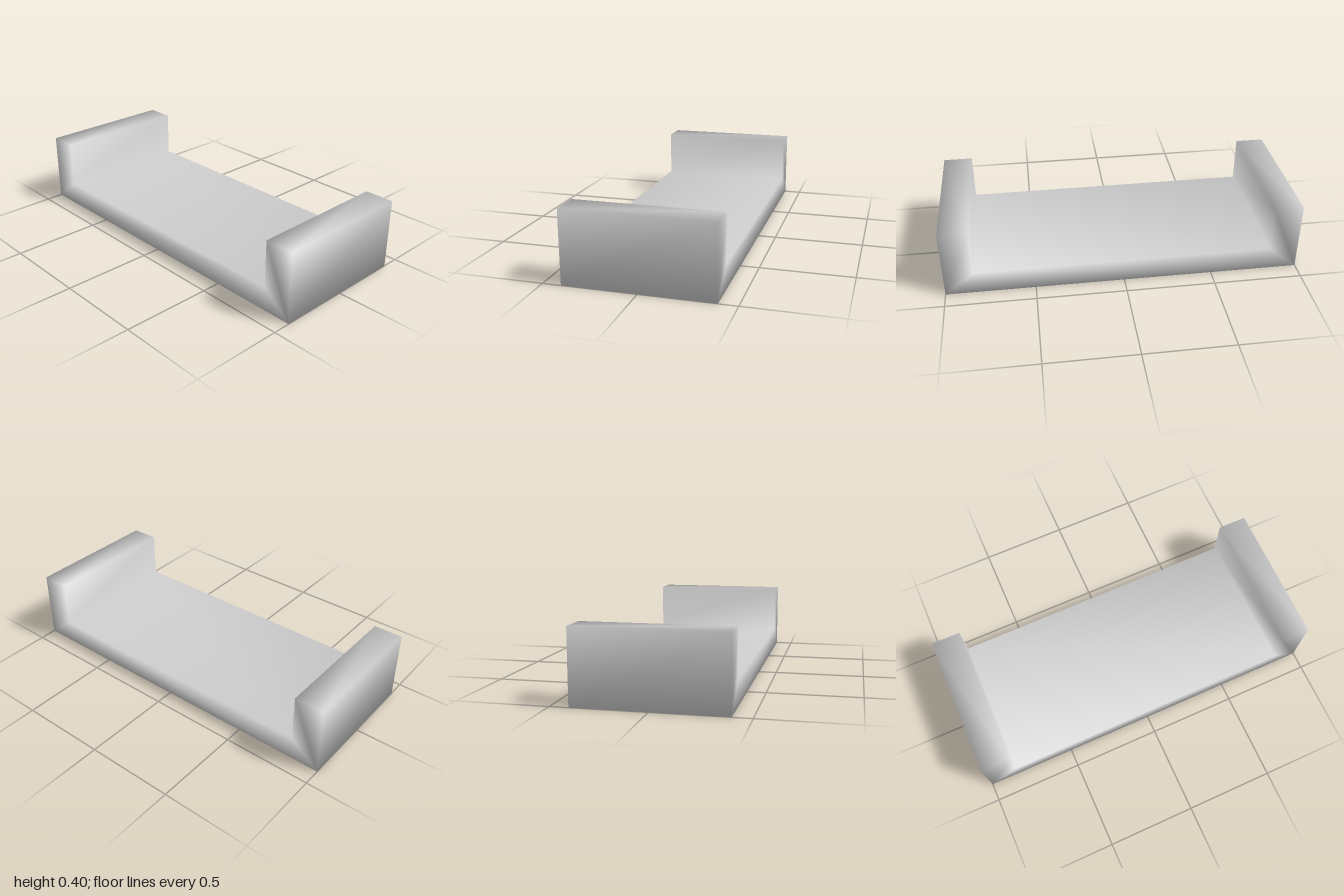
import * as THREE from 'three';
import { mergeVertices } from 'three/addons/utils/BufferGeometryUtils.js';

export function createModel() {
  const group = new THREE.Group();
  group.name = 'channelTray';

  const grey = new THREE.MeshStandardMaterial({ color: 0xcccccc });
  grey.name = 'light grey';

  const halfLength = 1, innerLength = 0.835, width = 0.8;
  const wallHeight = 0.4, floorHeight = 0.135;

  // U-shaped side profile: floor slab with an upright wall at each end
  const profile = new THREE.Shape([
    [-halfLength, 0], [halfLength, 0],
    [halfLength, wallHeight], [innerLength, wallHeight],
    [innerLength, floorHeight], [-innerLength, floorHeight],
    [-innerLength, wallHeight], [-halfLength, wallHeight],
  ].map(([z, y]) => new THREE.Vector2(z, y)));

  // Sweep across the width, then turn the profile to run along z
  let geometry = new THREE.ExtrudeGeometry(profile, { depth: width, bevelEnabled: false });
  geometry.translate(0, 0, -width / 2);
  geometry.rotateY(-Math.PI / 2);

  // Weld the corners so the shading flows smoothly around every edge
  geometry.deleteAttribute('normal');
  geometry.deleteAttribute('uv');
  geometry.clearGroups();
  geometry = mergeVertices(geometry, 1e-4);
  geometry.computeVertexNormals();

  const tray = new THREE.Mesh(geometry, grey);
  tray.name = 'floorAndEndWalls';
  group.add(tray);
  return group;
}
